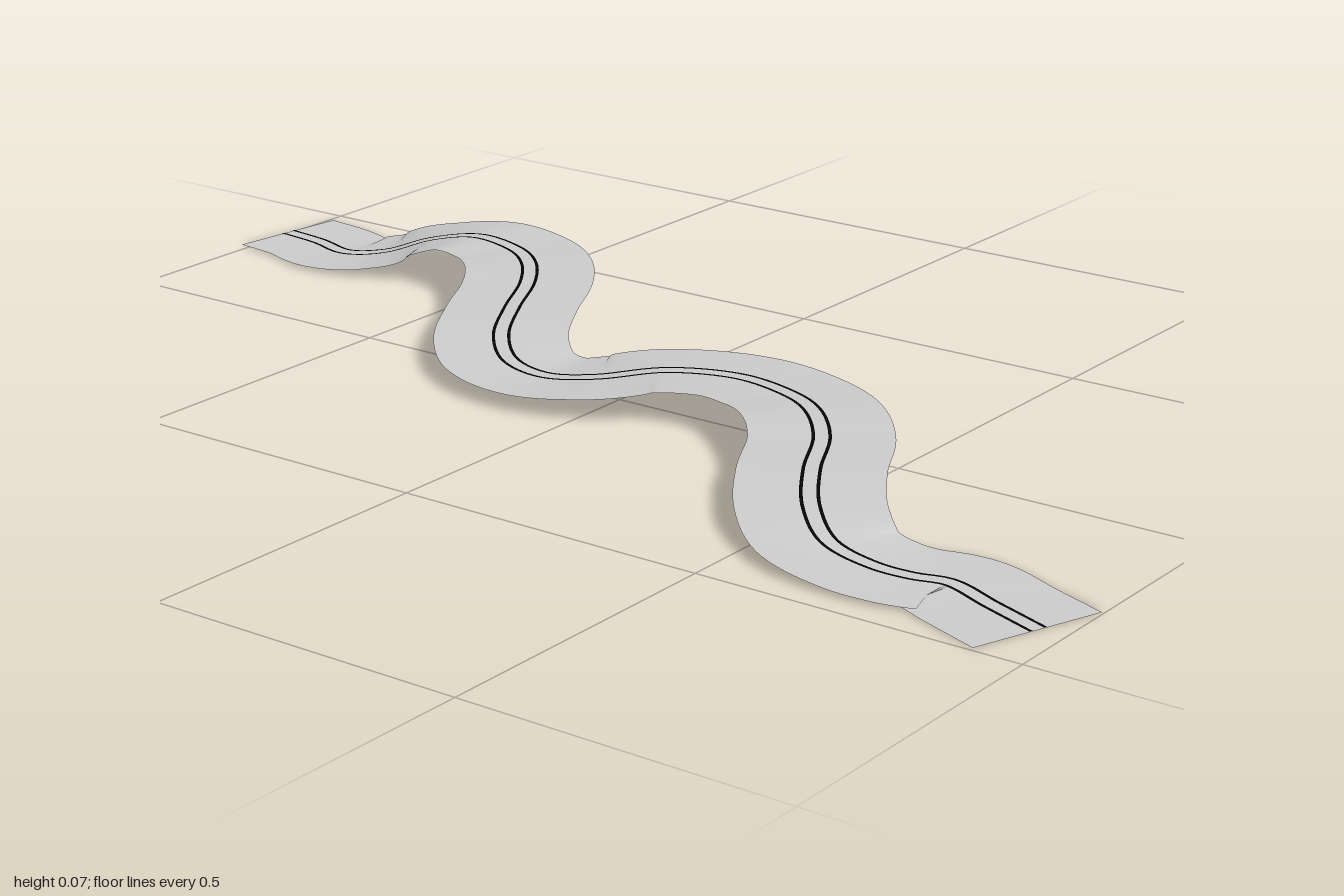
import * as THREE from 'three';

// Centre line of the road: x, height, z
const PATH = [
  [-1, 0.01, -0.36], [-0.92, 0.01, -0.35], [-0.83, 0.012, -0.325], [-0.76, 0.022, -0.345],
  [-0.69, 0.047, -0.38], [-0.6, 0.066, -0.393], [-0.5, 0.068, -0.37], [-0.42, 0.071, -0.31],
  [-0.36, 0.067, -0.23], [-0.32, 0.056, -0.14], [-0.27, 0.043, -0.05], [-0.2, 0.032, 0.013],
  [-0.12, 0.029, 0.03], [-0.04, 0.037, 0.01], [0.05, 0.05, -0.05], [0.16, 0.055, -0.08],
  [0.26, 0.057, -0.06], [0.35, 0.064, 0], [0.42, 0.06, 0.08], [0.47, 0.051, 0.18],
  [0.53, 0.037, 0.27], [0.6, 0.021, 0.33], [0.68, 0.013, 0.348], [0.74, 0.011, 0.345],
  [0.79, 0.01, 0.332], [0.87, 0.008, 0.36], [0.96, 0.007, 0.393],
];
const STEPS = 240;

// Flat ribbon swept along the curve between two sideways offsets
function ribbon(curve, from, to, lift, columns) {
  const positions = [], index = [];
  for (let i = 0; i <= STEPS; i++) {
    const p = curve.getPointAt(i / STEPS);
    const t = curve.getTangentAt(i / STEPS);
    const side = new THREE.Vector3(-t.z, 0, t.x).normalize();
    for (let j = 0; j <= columns; j++) {
      const d = from + (to - from) * j / columns;
      positions.push(p.x + side.x * d, p.y + lift, p.z + side.z * d);
    }
  }
  const row = columns + 1;
  for (let i = 0; i < STEPS; i++) {
    for (let j = 0; j < columns; j++) {
      const a = i * row + j, b = a + 1, c = a + row, d = c + 1;
      index.push(a, b, c, b, d, c);
    }
  }
  const g = new THREE.BufferGeometry();
  g.setAttribute('position', new THREE.Float32BufferAttribute(positions, 3));
  g.setIndex(index);
  g.computeVertexNormals();
  return g;
}

export function createModel() {
  const group = new THREE.Group();
  group.name = 'windingRoad';
  const grey = new THREE.MeshStandardMaterial({ color: 0xcccccc, side: THREE.DoubleSide });
  grey.name = 'roadGrey';
  const black = new THREE.MeshStandardMaterial({ color: 0x050505, side: THREE.DoubleSide });
  black.name = 'lineBlack';

  const curve = new THREE.CatmullRomCurve3(PATH.map(p => new THREE.Vector3(...p)), false, 'centripetal');
  curve.arcLengthDivisions = 1000;

  // Road surface
  const road = new THREE.Mesh(ribbon(curve, -0.106, 0.106, 0, 4), grey);
  road.name = 'roadSurface';
  group.add(road);

  // Pair of thin centre lines
  for (const s of [-1, 1]) {
    const line = new THREE.Mesh(ribbon(curve, s * 0.012 - 0.0025, s * 0.012 + 0.0025, 0.001, 1), black);
    line.name = s < 0 ? 'centreLineBack' : 'centreLineFront';
    group.add(line);
  }
  return group;
}
